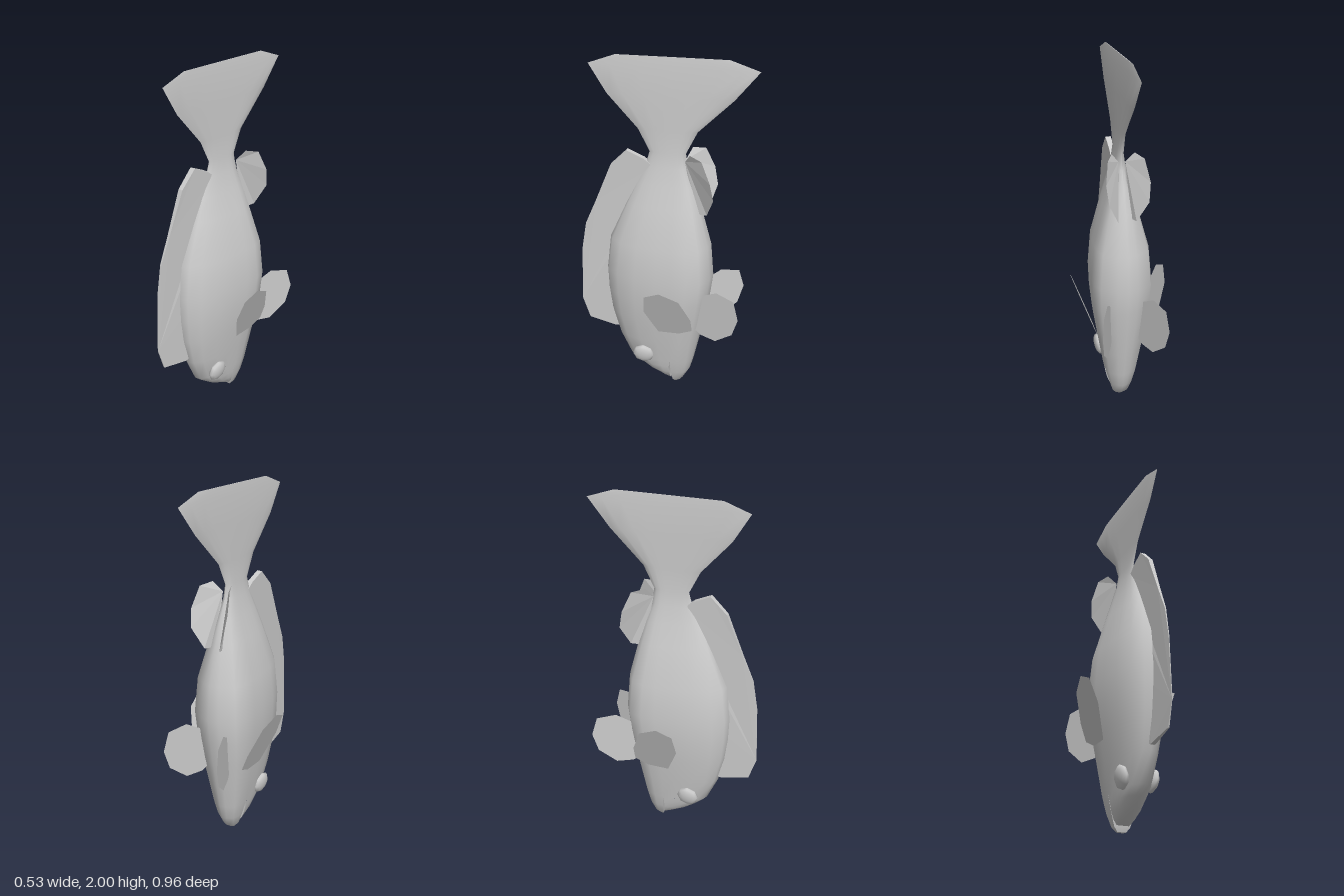
import * as THREE from 'three';
import { mergeGeometries, toCreasedNormals } from 'three/addons/utils/BufferGeometryUtils.js';

const material = new THREE.MeshStandardMaterial({ color: 0xcccccc });
const sheetMaterial = new THREE.MeshStandardMaterial({ color: 0xcccccc, side: THREE.DoubleSide });

// Half cross-section from belly to back: [position 0..1, relative half width]
const SPLIT = 0.35;
const SECTION = [[0, 0], [0.025, 0.35], [0.1, 0.86], [0.22, 1], [SPLIT, 0.99], [0.5, 0.95],
  [0.7, 0.85], [0.87, 0.62], [0.965, 0.33], [1, 0]];
const UPPER = [[0, 0], ...SECTION.filter(p => p[0] >= SPLIT).map(([u, w]) => [(u - SPLIT) / (1 - SPLIT), w])];
const LOWER = [...SECTION.filter(p => p[0] <= SPLIT).map(([u, w]) => [u / SPLIT, w]), [1, 0]];

// Mirrored section swept through rows of [y, belly z, back z, half width], y rising
function loft(rows, section, capBottom, capTop) {
  const loop = [...section, ...section.slice(1, -1).reverse().map(([u, w]) => [u, -w])];
  const n = loop.length, pos = [], index = [];
  for (const [y, z0, z1, half] of rows) {
    for (const [u, w] of loop) pos.push(w * half, y, z0 + u * (z1 - z0));
  }
  for (let i = 0; i < rows.length - 1; i++) {
    for (let j = 0; j < n; j++) {
      const a = i * n + j, b = i * n + (j + 1) % n;
      index.push(a, a + n, b, b, a + n, b + n);
    }
  }
  const top = (rows.length - 1) * n;
  for (let j = 1; j < n - 1; j++) {
    if (capBottom) index.push(0, j, j + 1);
    if (capTop) index.push(top, top + j + 1, top + j);
  }
  const g = new THREE.BufferGeometry();
  g.setAttribute('position', new THREE.Float32BufferAttribute(pos, 3));
  g.setIndex(index);
  return g;
}

// Thin fin from an outline of [x, y, z] points
function sheet(points) {
  const g = new THREE.BufferGeometry();
  g.setAttribute('position', new THREE.Float32BufferAttribute(points.flat(), 3));
  const index = [];
  for (let i = 1; i < points.length - 1; i++) index.push(0, i, i + 1);
  g.setIndex(index);
  const flat = g.toNonIndexed();
  flat.computeVertexNormals();
  return flat;
}

export function createModel() {
  const model = new THREE.Group();
  const add = (name, geometry, mat = material) => {
    const mesh = new THREE.Mesh(geometry, mat);
    mesh.name = name;
    model.add(mesh);
    return mesh;
  };

  // Body running into the tail fin, with two jaws meeting at the mouth
  const trunk = loft([
    [0.19, -0.19, 0.195, 0.088], [0.34, -0.22, 0.26, 0.112], [0.5, -0.25, 0.3, 0.138],
    [0.64, -0.272, 0.316, 0.154], [0.78, -0.288, 0.32, 0.16], [0.98, -0.27, 0.295, 0.143],
    [1.2, -0.21, 0.2, 0.085], [1.32, -0.172, 0.143, 0.052], [1.42, -0.133, 0.092, 0.028],
    [1.5, -0.122, 0.07, 0.016], [1.62, -0.18, 0.13, 0.014], [1.8, -0.36, 0.29, 0.012],
    [1.95, -0.48, 0.38, 0.008], [2.0, -0.33, 0.24, 0.002],
  ], SECTION, false, true);
  const upperJaw = loft([
    [0.035, -0.06, -0.045, 0.035], [0.06, -0.055, 0.005, 0.055],
    [0.1, -0.052, 0.085, 0.07], [0.145, -0.05, 0.145, 0.08], [0.19, -0.055, 0.195, 0.088],
  ], UPPER, true, false);
  const lowerJaw = loft([
    [0.005, -0.1, -0.075, 0.025], [0.03, -0.13, -0.068, 0.045],
    [0.1, -0.168, -0.062, 0.066], [0.19, -0.19, -0.055, 0.088],
  ], LOWER, true, false);
  add('body', toCreasedNormals(mergeGeometries([trunk, upperJaw, lowerJaw]), 0.9));

  // Back fin, tapering to a thin outer edge
  const outline = [[0.2, 0.38], [0.28, 0.365], [0.44, 0.4], [0.48, 0.53], [0.465, 0.87], [0.435, 1.04],
    [0.37, 1.19], [0.28, 1.41], [0.19, 1.5], [0.1, 1.46], [0.05, 1.42], [0.22, 1.0], [0.25, 0.7]];
  const backFin = new THREE.ExtrudeGeometry(
    new THREE.Shape(outline.map(([z, y]) => new THREE.Vector2(z, y))),
    { depth: 0.03, bevelEnabled: false });
  backFin.translate(0, 0, -0.015).rotateY(-Math.PI / 2);
  const p = backFin.attributes.position;
  for (let i = 0; i < p.count; i++) {
    p.setX(i, p.getX(i) * THREE.MathUtils.clamp((0.5 - p.getZ(i)) / 0.25, 0.1, 1));
  }
  backFin.computeVertexNormals();
  add('backFin', backFin);

  // Paired fins as [x, y, z] outlines on the left side
  const sideOutline = [[0, 0.45], [0.07, 0.62], [0.06, 0.75], [-0.025, 0.79], [-0.13, 0.735],
    [-0.19, 0.585], [-0.195, 0.49], [-0.12, 0.45]];
  const bellyOutline = [[-0.19, 0.66], [-0.26, 0.7], [-0.32, 0.74], [-0.42, 0.72], [-0.45, 0.61],
    [-0.42, 0.5], [-0.325, 0.415], [-0.235, 0.42], [-0.19, 0.45]];
  const fins = {
    SideFin: sideOutline.map(([z, y]) => [0.13 + (y - 0.42) * 0.37, y, z]),
    BellyFin: bellyOutline.map(([z, y]) => [0.108 - (z + 0.28) * 0.42, y, z]),
    RearFin: [[0.018, 1.46, -0.12], [0.06, 1.515, -0.15], [0.095, 1.5, -0.215], [0.115, 1.39, -0.263],
      [0.104, 1.29, -0.283], [0.048, 1.175, -0.245], [0.035, 1.17, -0.2], [0.02, 1.25, -0.16]],
  };
  for (const [side, s] of [['left', 1], ['right', -1]]) {
    for (const [name, points] of Object.entries(fins)) {
      add(side + name, sheet(points.map(([x, y, z]) => [s * x, y, z])), sheetMaterial);
    }
    // Flattened eye
    const eye = add(side + 'Eye', new THREE.SphereGeometry(0.064, 8, 8).rotateZ(Math.PI / 2));
    eye.scale.x = 0.42;
    eye.position.set(s * 0.085, 0.235, 0.1);
    eye.rotation.z = -s * 0.15;
  }
  return model;
}
